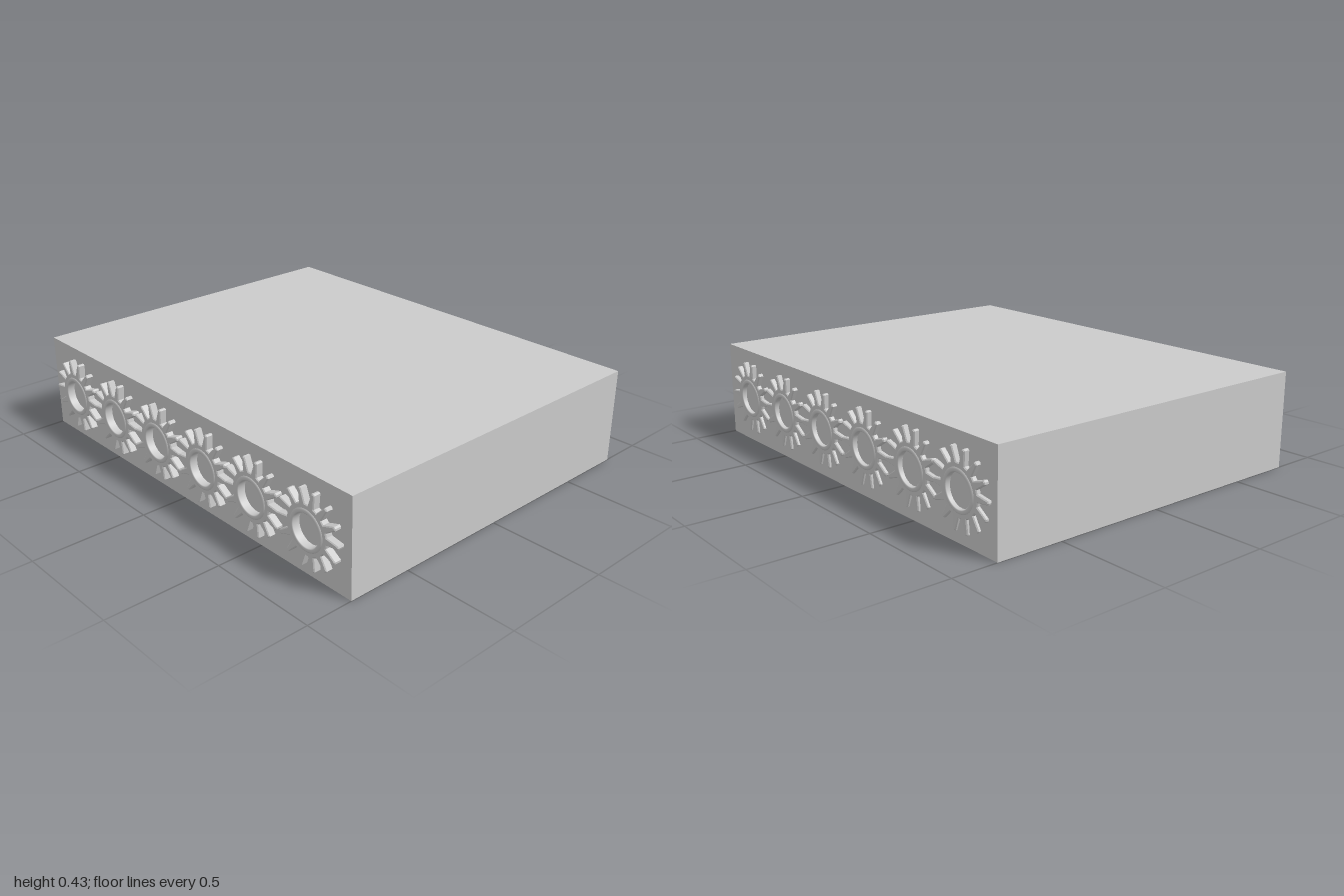
import * as THREE from 'three';

const material = new THREE.MeshStandardMaterial({ color: 0xcccccc });
const TEETH = 14, ROOT = 0.108, TIP = 0.168, HOLE = 0.07;

// Toothed plate with a round hole, its back on z = 0
function gearGeometry(depth) {
  const shape = new THREE.Shape();
  const step = (Math.PI * 2) / TEETH;
  for (let i = 0; i < TEETH; i++) {
    const corners = [[ROOT, -0.33], [TIP - 0.003, -0.11], [TIP, 0], [TIP - 0.003, 0.11], [ROOT, 0.33]];
    corners.forEach(([r, offset], j) => {
      const a = (i + offset) * step;
      const x = r * Math.cos(a), y = r * Math.sin(a);
      if (i + j === 0) shape.moveTo(x, y);
      else shape.lineTo(x, y);
    });
  }
  shape.closePath();
  shape.holes.push(new THREE.Path().absarc(0, 0, HOLE + 0.003, 0, Math.PI * 2, true));
  const bevel = 0.004;
  return new THREE.ExtrudeGeometry(shape, {
    depth: depth - bevel, curveSegments: 32,
    bevelEnabled: true, bevelThickness: bevel, bevelSize: bevel, bevelOffset: -bevel, bevelSegments: 1,
  });
}

// Rounded collar around the hole
function collarGeometry(depth) {
  const profile = [[HOLE, 0], [HOLE, depth - 0.003], [0.074, depth], [0.082, depth],
    [0.088, depth - 0.003], [0.093, depth - 0.01]];
  const geometry = new THREE.LatheGeometry(profile.map(([r, h]) => new THREE.Vector2(r, h)).reverse(), 48);
  return geometry.rotateX(Math.PI / 2);
}

// A row of gears on one face; z is the outward direction
function gearRow(name, xs, depth, tilt) {
  const row = new THREE.Group();
  row.name = name;
  const plate = gearGeometry(depth - 0.004), collar = collarGeometry(depth);
  const collarMaterial = material.clone();
  collarMaterial.side = THREE.DoubleSide;
  for (const x of xs) {
    const gear = new THREE.Group();
    gear.name = 'gear';
    const teeth = new THREE.Mesh(plate, material);
    teeth.name = 'gearTeeth';
    const rim = new THREE.Mesh(collar, collarMaterial);
    rim.name = 'gearCollar';
    gear.add(teeth, rim);
    gear.position.set(x, 0.212, 0);
    gear.rotation.x = tilt;
    row.add(gear);
  }
  return row;
}

export function createModel() {
  const model = new THREE.Group();
  model.name = 'gearedBlock';

  // Solid block
  const block = new THREE.Mesh(new THREE.BoxGeometry(2, 0.43, 1.59), material);
  block.name = 'block';
  block.position.set(0, 0.215, -0.005);
  model.add(block);

  // Front gears lie flat on the face
  const front = gearRow('frontGears', [-0.783, -0.463, -0.147, 0.168, 0.475, 0.793], 0.035, 0);
  front.position.z = 0.79;

  // Back gears are thinner and lean slightly outward at the top
  const back = gearRow('backGears', [0.80, 0.50, 0.18, -0.145, -0.47, -0.785], 0.035, 0.04);
  back.rotation.y = Math.PI;
  back.position.z = -0.786;

  model.add(front, back);
  return model;
}
